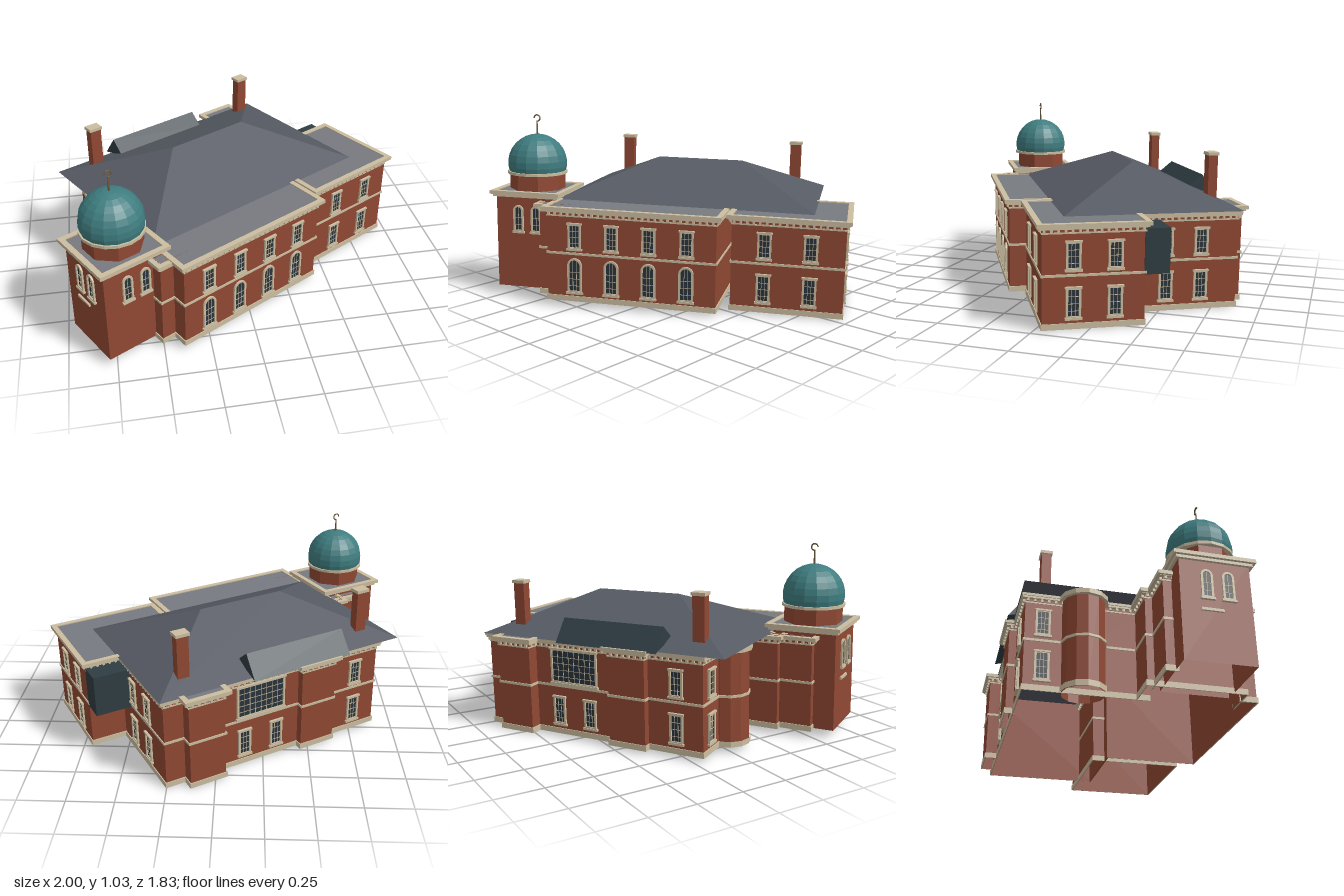
import * as THREE from 'three';
import { mergeGeometries } from 'three/addons/utils/BufferGeometryUtils.js';

const mat = (color, side = THREE.FrontSide) => new THREE.MeshStandardMaterial({ color, side, flatShading: true });
const BRICK = mat(0x904833, THREE.DoubleSide), TRIM = mat(0xcbbda0), SLATE = mat(0x565a63), FLAT = mat(0x777a80),
  GLASS = mat(0x2a343c), COPPER = mat(0x3f7d80), DORMER = mat(0x2f3d43), METAL = mat(0x6b5a3c);

const add = (parent, name, geo, material) => {
  const m = new THREE.Mesh(geo, material);
  m.name = name;
  parent.add(m);
  return m;
};
// Box geometry from its limits
const slab = (x0, x1, y0, y1, z0, z1) =>
  new THREE.BoxGeometry(x1 - x0, y1 - y0, z1 - z0).translate((x0 + x1) / 2, (y0 + y1) / 2, (z0 + z1) / 2);

// Hollow walls: a box without top, floor and any side listed as open
const SIDES = ['left', 'right', 'top', 'floor', 'front', 'back'];
function hollow(limits, open = []) {
  const geo = slab(...limits), gone = ['top', 'floor', ...open];
  geo.setIndex([...geo.index.array].filter((_, i) => !gone.includes(SIDES[Math.floor(i / 6)])));
  return geo;
}

// Rectangular ring of thickness t inside the given limits, without the open sides
function ring(x0, x1, y0, y1, z0, z1, t, open = []) {
  const bars = {
    back: [x0, x1, y0, y1, z0, z0 + t], front: [x0, x1, y0, y1, z1 - t, z1],
    right: [x0, x0 + t, y0, y1, z0 + t, z1 - t], left: [x1 - t, x1, y0, y1, z0 + t, z1 - t] };
  return mergeGeometries(Object.keys(bars).filter((k) => !open.includes(k)).map((k) => slab(...bars[k])));
}

// Flat roof with a raised border
function flatRoof(g, name, x0, x1, z0, z1, y) {
  const t = 0.03;
  add(g, name + 'Deck', slab(x0 + t, x1 - t, y - 0.02, y - 0.006, z0 + t, z1 - t), FLAT);
  add(g, name + 'Border', ring(x0, x1, y - 0.02, y, z0, z1, t), TRIM);
}

// Brick block with plinth, string course, stepped cornice and brackets; limits are those of the walls
function block(g, name, x0, x1, z0, z1, { flat = true, over = 0.027, top = 0.527, open = [] } = {}) {
  const band = (e, y0, y1) => ring(x0 - e, x1 + e, y0, y1, z0 - e, z1 + e, e - 0.001, open);
  add(g, name + 'Walls', hollow([x0, x1, 0, 0.522, z0, z1], open), BRICK);
  const trim = [band(0.006, 0, 0.03), band(0.006, 0.263, 0.276), band(0.004, 0.474, 0.482), band(over * 0.6, 0.497, 0.508)];
  const along = (a, b, side, make) => {
    if (!open.includes(side)) for (let p = a + 0.012; p < b; p += 0.035) trim.push(make(p));
  };
  for (const [side, z] of [['back', z0 - 0.007], ['front', z1 + 0.007]])
    along(x0, x1, side, (x) => slab(x - 0.006, x + 0.006, 0.482, 0.498, z - 0.006, z + 0.006));
  for (const [side, x] of [['right', x0 - 0.007], ['left', x1 + 0.007]])
    along(z0, z1, side, (z) => slab(x - 0.006, x + 0.006, 0.482, 0.498, z - 0.006, z + 0.006));
  if (!flat) trim.push(band(0.02, 0.508, 0.524));
  add(g, name + 'Trim', mergeGeometries(trim), TRIM);
  if (flat) flatRoof(g, name + 'Roof', x0 - over, x1 + over, z0 - over, z1 + over, top);
}

// Rectangular or round-headed outline standing on y = 0
function outline(w, h, arched, inset = 0, Kind = THREE.Shape) {
  const s = new Kind(), r = w / 2 - inset, top = arched ? h - w / 2 : h - inset;
  s.moveTo(-r, inset).lineTo(r, inset).lineTo(r, top);
  if (arched) s.absarc(0, top, r, 0, Math.PI, false);
  else s.lineTo(-r, top);
  s.closePath();
  return s;
}

const FACE = { front: 0, left: Math.PI / 2, back: Math.PI, right: -Math.PI / 2 };

// Window with frame, sill, glazing bars and glass, held just off the wall
function addWindow(g, face, x, z, y0, y1, { w = 0.075, arched = false, cols = 3, rows = 3 } = {}) {
  const win = new THREE.Group(), h = y1 - y0;
  win.name = 'window';
  win.position.set(x, y0, z);
  win.rotation.y = FACE[face];
  win.translateZ(0.001);
  const frame = outline(w, h, arched);
  frame.holes.push(outline(w, h, arched, 0.011, THREE.Path));
  const extrude = (s, depth) => new THREE.ExtrudeGeometry(s, { depth, bevelEnabled: false, curveSegments: 8 });
  add(win, 'windowFrame', extrude(frame, 0.01), TRIM);
  add(win, 'windowGlass', extrude(outline(w, h, arched, 0.008), 0.003), GLASS);
  const bars = [slab(-w / 2 - 0.006, w / 2 + 0.006, -0.008, 0.004, 0, 0.014)];
  if (!arched) bars.push(slab(-w / 2 - 0.005, w / 2 + 0.005, h - 0.006, h + 0.004, 0, 0.014));
  const high = arched ? h - w / 2 : h - 0.01;
  for (let i = 1; i < cols; i++) {
    const bx = -w / 2 + 0.01 + (w - 0.02) * i / cols;
    bars.push(slab(bx - 0.0012, bx + 0.0012, 0.005, high + (arched ? w * 0.35 : 0), 0, 0.005));
  }
  for (let i = 1; i <= rows; i++)
    bars.push(slab(-w / 2 + 0.01, w / 2 - 0.01, high * i / (rows + 1) - 0.0012, high * i / (rows + 1) + 0.0012, 0, 0.005));
  add(win, 'windowBars', mergeGeometries(bars), TRIM);
  g.add(win);
}

// Closed solid from triangles and quads over a few corners
function solid(corners, faces) {
  const pos = [];
  for (const f of faces)
    for (let i = 1; i < f.length - 1; i++) for (const k of [f[0], f[i], f[i + 1]]) pos.push(...corners[k]);
  const geo = new THREE.BufferGeometry();
  geo.setAttribute('position', new THREE.Float32BufferAttribute(pos, 3));
  geo.computeVertexNormals();
  return geo;
}

export function createModel() {
  const model = new THREE.Group();
  model.name = 'building';
  const g = new THREE.Group();
  g.name = 'house';
  g.rotation.set(-0.008, Math.PI / 6, -0.02, 'YXZ');
  g.position.set(-0.0065, 0.022, 0.0085);
  model.add(g);

  // Wall blocks, open where they join
  block(g, 'mainBlock', -0.65, 0.66, -0.63, 0, { flat: false, open: ['front'] });
  block(g, 'frontBlock', -0.745, 0.195, 0, 0.523, { open: ['back', 'right'] });
  block(g, 'sideWing', 0.26, 0.86, -0.075, 0.437);
  block(g, 'linkBlock', -0.825, -0.65, -0.065, 0.435, { top: 0.52, open: ['left'] });
  block(g, 'rearTowerBlock', -1.0, -0.78, -0.028, 0.03, { top: 0.519, open: ['front', 'left'] });
  block(g, 'rearProjection', 0.345, 0.55, -0.695, -0.63, { open: ['front'] });
  block(g, 'rearPier', -0.345, -0.135, -0.67, -0.63, { open: ['front'] });
  add(g, 'innerWall', slab(0.195, 0.66, 0, 0.51, -0.008, 0), BRICK);
  add(g, 'returnWall', slab(-0.745, -0.737, 0, 0.51, 0.43, 0.523), BRICK);
  add(g, 'returnTrim', mergeGeometries([slab(-0.751, -0.74, 0, 0.03, 0.43, 0.528),
    slab(-0.751, -0.74, 0.263, 0.276, 0.43, 0.528), slab(-0.761, -0.74, 0.497, 0.508, 0.43, 0.538)]), TRIM);

  // Faceted bay on the right side
  for (const [name, r, y0, y1, m] of [['bayWalls', 0.11, 0, 0.5, BRICK], ['bayPlinth', 0.117, 0, 0.03, TRIM],
    ['bayString', 0.117, 0.263, 0.276, TRIM], ['bayCornice', 0.128, 0.497, 0.522, TRIM]])
    add(g, name, new THREE.CylinderGeometry(r, r, y1 - y0, 12, 1, y0 === 0), m).position.set(-0.655, (y0 + y1) / 2, -0.335);

  // Hipped main roof
  add(g, 'mainRoof', solid(
    [[-0.776, 0.522, 0.302], [0.685, 0.522, 0.302], [0.685, 0.522, -0.655], [-0.776, 0.522, -0.655],
      [-0.294, 0.7285, -0.17], [0.212, 0.7285, -0.17]],
    [[0, 1, 5, 4], [1, 2, 5], [2, 3, 4, 5], [3, 0, 4], [0, 3, 2, 1]]), SLATE);

  // Long rear dormer
  add(g, 'rearDormer', solid(
    [[-0.424, 0.52, -0.69], [0.17, 0.52, -0.69], [0.17, 0.64, -0.6], [-0.424, 0.64, -0.6],
      [-0.424, 0.57, -0.515], [0.17, 0.57, -0.515]],
    [[1, 0, 3, 2], [3, 4, 5, 2], [0, 4, 3], [1, 2, 5], [0, 1, 5, 4]]), DORMER);

  // Enclosed lean-to on the left side
  add(g, 'sideEnclosure', slab(0.662, 0.863, 0.257, 0.488, -0.2, -0.07), DORMER);

  // Chimneys
  for (const x of [0.503, -0.592]) {
    add(g, 'chimney', slab(x - 0.033, x + 0.033, 0.53, 0.8, -0.552, -0.502), BRICK);
    add(g, 'chimneyCap', slab(x - 0.039, x + 0.039, 0.797, 0.814, -0.558, -0.497), TRIM);
  }

  // Main windows
  const upper = [0.296, 0.438], lower = [0.055, 0.21];
  for (let i = 0; i < 4; i++) {
    const x = -0.588 + 0.208 * i;
    addWindow(g, 'front', x, 0.523, ...upper);
    addWindow(g, 'front', x, 0.523, 0.05, 0.245, { arched: true, w: 0.082 });
  }
  for (const [y0, y1] of [upper, lower]) {
    for (const x of [0.437, 0.682]) addWindow(g, 'front', x, 0.437, y0, y1);
    for (const z of [0.283, 0.075]) addWindow(g, 'left', 0.86, z, y0, y1);
    for (const z of [-0.24, -0.43]) addWindow(g, 'left', 0.66, z, y0, y1);
    addWindow(g, 'back', -0.505, -0.63, y0, y1);
    addWindow(g, 'right', -0.65, -0.54, y0, y1);
  }
  for (const x of [0.2, 0.005]) addWindow(g, 'back', x, -0.63, ...lower);
  addWindow(g, 'back', 0.1, -0.63, 0.285, 0.475, { w: 0.29, cols: 8, rows: 4 });

  // Square tower
  const tower = new THREE.Group();
  tower.name = 'tower';
  tower.position.set(-0.936, 0, 0.193);
  g.add(tower);
  add(tower, 'towerWalls', hollow([-0.177, 0.177, 0.006, 0.55, -0.177, 0.177]), BRICK);
  add(tower, 'towerCornice', ring(-0.192, 0.192, 0.533, 0.548, -0.192, 0.192, 0.014), TRIM);
  flatRoof(tower, 'towerRoof', -0.206, 0.206, -0.206, 0.206, 0.568);
  for (const d of [-0.045, 0.061])
    for (const [face, x, z] of [['front', d, 0.177], ['right', -0.177, d], ['left', 0.177, d]])
      addWindow(tower, face, x, z, 0.333, 0.487, { w: 0.06, arched: true, cols: 2, rows: 2 });
  add(tower, 'towerLedge', slab(-0.188, -0.178, 0.266, 0.28, -0.08, 0.03), TRIM);

  // Drum, dome and hooked finial
  add(tower, 'drum', new THREE.CylinderGeometry(0.158, 0.158, 0.1, 8).rotateY(Math.PI / 8).translate(0, 0.605, 0), BRICK);
  add(tower, 'drumRing', new THREE.CylinderGeometry(0.171, 0.171, 0.016, 16).translate(0, 0.658, 0), TRIM);
  add(tower, 'dome', new THREE.SphereGeometry(0.168, 16, 9, 0, Math.PI * 2, 0, Math.PI * 0.6).translate(0, 0.709, 0), COPPER);
  add(tower, 'finialRod', new THREE.CylinderGeometry(0.003, 0.006, 0.085, 6).translate(0, 0.91, 0), METAL);
  add(tower, 'finialHook', new THREE.TorusGeometry(0.018, 0.004, 6, 16, Math.PI * 1.5)
    .rotateZ(-Math.PI / 2).translate(0, 0.968, 0), METAL);
  return model;
}
